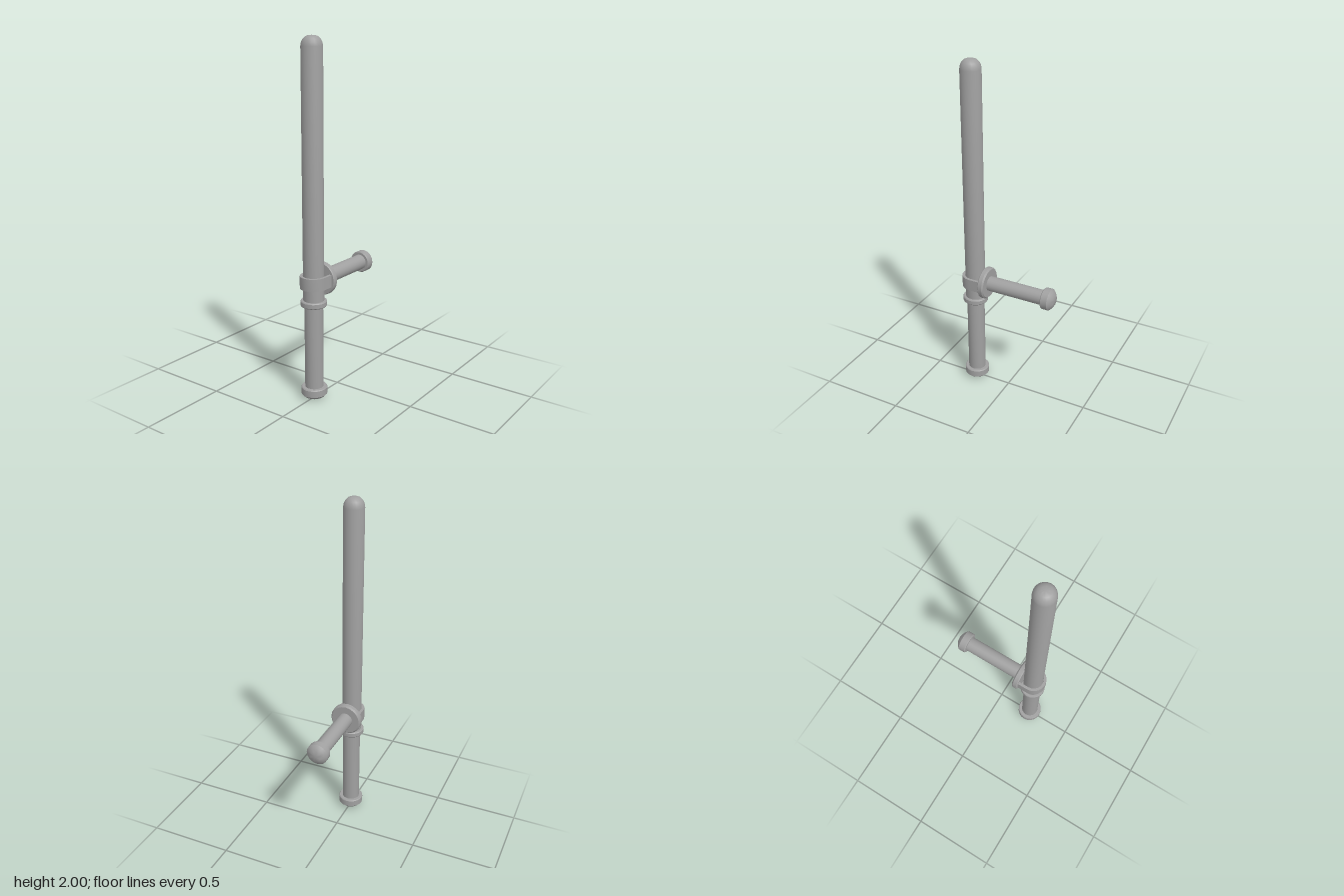
import * as THREE from 'three';
import { toCreasedNormals } from 'three/addons/utils/BufferGeometryUtils.js';

export function createModel() {
  const group = new THREE.Group();
  const grey = new THREE.MeshStandardMaterial({ color: 0xa0a0a0 });
  grey.name = 'grey';
  const SHAFT_X = -0.22, HANDLE_Y = 0.69;

  const add = (name, geometry, parent) => {
    const mesh = new THREE.Mesh(toCreasedNormals(geometry, 0.55), grey);
    mesh.name = name;
    parent.add(mesh);
    return mesh;
  };
  // Profile points are [radius, distance along the axis]
  const turned = (name, points, parent) =>
    add(name, new THREE.LatheGeometry(points.map(p => new THREE.Vector2(...p)), 20), parent);

  // Upright baton, turned around its own axis
  const baton = new THREE.Group();
  baton.name = 'baton';
  baton.position.x = SHAFT_X;
  group.add(baton);
  turned('shaft', [[0, 0.57], [0.058, 0.57], [0.058, 1.945], [0.055, 1.963],
    [0.047, 1.98], [0.034, 1.993], [0.018, 1.999], [0, 2]], baton);
  turned('grip', [[0.052, 0.05], [0.052, 0.58]], baton);
  turned('gripRing', [[0.05, 0.552], [0.07, 0.552], [0.074, 0.557], [0.074, 0.58],
    [0.07, 0.585], [0.05, 0.585]], baton);
  turned('pommel', [[0, 0], [0.037, 0.004], [0.058, 0.014], [0.074, 0.03], [0.074, 0.067],
    [0.07, 0.072], [0.045, 0.072]], baton);

  // Side handle, turned around a horizontal axis
  const handle = new THREE.Group();
  handle.name = 'sideHandle';
  handle.position.y = HANDLE_Y;
  handle.rotation.z = -Math.PI / 2;
  group.add(handle);
  turned('guardDisc', [[0, -0.158], [0.09, -0.158], [0.094, -0.153], [0.094, -0.13],
    [0.086, -0.122], [0, -0.122]], handle);
  turned('handleBar', [[0.044, -0.13], [0.044, 0.24]], handle);
  turned('handleKnob', [[0.04, 0.225], [0.058, 0.225], [0.063, 0.23], [0.063, 0.268],
    [0.05, 0.281], [0.03, 0.293], [0, 0.295]], handle);

  // U-shaped strap wrapping the shaft and meeting the disc
  const strap = new THREE.Shape();
  strap.moveTo(0.066, 0.076);
  strap.lineTo(0, 0.076);
  strap.absarc(0, 0, 0.076, Math.PI / 2, Math.PI * 1.5, false);
  strap.lineTo(0.066, -0.076);
  strap.lineTo(0.066, -0.06);
  strap.lineTo(0, -0.06);
  strap.absarc(0, 0, 0.06, Math.PI * 1.5, Math.PI / 2, true);
  strap.lineTo(0.066, 0.06);
  strap.closePath();
  const strapGeometry = new THREE.ExtrudeGeometry(strap,
    { depth: 0.07, bevelEnabled: false, curveSegments: 5 });
  strapGeometry.rotateX(-Math.PI / 2);
  add('strap', strapGeometry, group).position.set(SHAFT_X, HANDLE_Y - 0.035, 0);

  return group;
}
